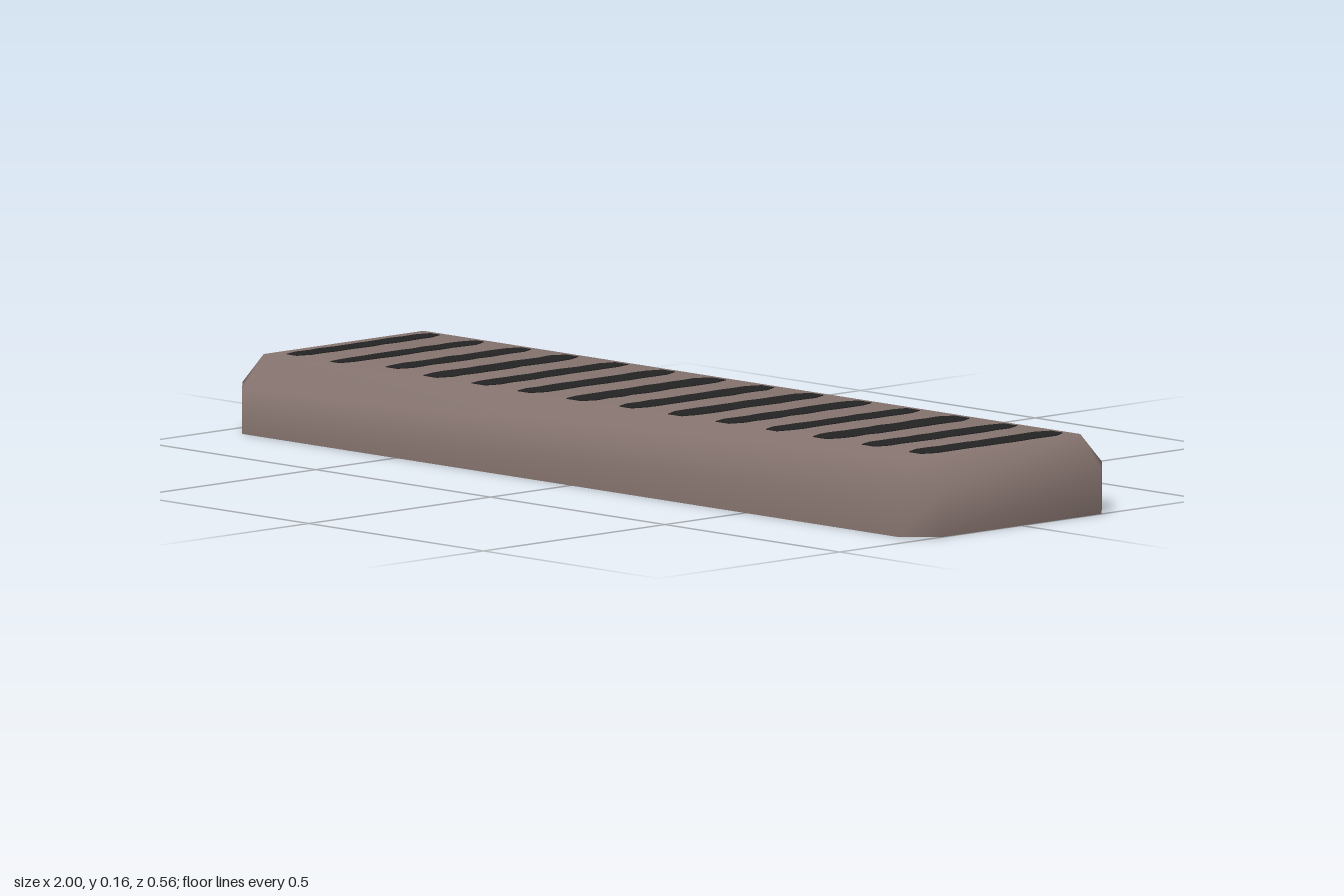
import * as THREE from 'three';
import { mergeVertices } from 'three/addons/utils/BufferGeometryUtils.js';

const TOP = 0.154, SHOULDER = 0.092, CHAMFER = 0.06, HALF_X = 1, HALF_Z = 0.28;

// Eight-cornered ring, counterclockwise from above; the insets cut its corners
function ring(y, outX, outZ) {
  const ix = HALF_X - CHAMFER, iz = HALF_Z - CHAMFER;
  return [
    [outX, y, iz], [outX, y, -iz], [ix, y, -outZ], [-ix, y, -outZ],
    [-outX, y, -iz], [-outX, y, iz], [-ix, y, outZ], [ix, y, outZ],
  ];
}

// Open-bottomed shell: walls, chamfers and flat top sharing smooth normals
function shellGeometry() {
  const rings = [
    ring(0, HALF_X, HALF_Z),
    ring(SHOULDER, HALF_X, HALF_Z),
    ring(TOP, HALF_X - CHAMFER, HALF_Z - CHAMFER),
  ];
  const index = [];
  for (let r = 0; r < 2; r++) {
    for (let i = 0; i < 8; i++) {
      const a = r * 8 + i, b = r * 8 + (i + 1) % 8;
      index.push(a, b, b + 8, a, b + 8, a + 8);
    }
  }
  index.push(16, 18, 20, 16, 20, 22);
  let geo = new THREE.BufferGeometry();
  geo.setAttribute('position', new THREE.Float32BufferAttribute(rings.flat(2), 3));
  geo.setIndex(index);
  geo = mergeVertices(geo);
  // Drop the triangles collapsed where the top ring's corners meet
  const src = geo.index.array, kept = [];
  for (let i = 0; i < src.length; i += 3) {
    const [a, b, c] = [src[i], src[i + 1], src[i + 2]];
    if (a !== b && b !== c && c !== a) kept.push(a, b, c);
  }
  geo.setIndex(kept);
  geo.computeVertexNormals();
  return geo;
}

// Small seeded generator for the uneven slot edges, from -1 to 1
function makeRandom(seed) {
  return () => {
    seed = (seed * 16807) % 2147483647;
    return (seed / 2147483647) * 2 - 1;
  };
}

// Slot with wavering sides and rounded ends, from zBack to zFront
function slotGeometry(width, zBack, zFront, random) {
  const steps = 12, left = [], right = [];
  for (let i = 0; i <= steps; i++) {
    const t = i / steps;
    const y = -zFront + t * (zFront - zBack);
    const end = i === 0 || i === steps ? 0.6 : 1;
    right.push(new THREE.Vector2(end * width / 2 + random() * 0.003, y));
    left.push(new THREE.Vector2(-end * width / 2 + random() * 0.003, y));
  }
  const shape = new THREE.Shape([...right, ...left.reverse()]);
  const geo = new THREE.ExtrudeGeometry(shape, { depth: 0.003, bevelEnabled: false });
  geo.rotateX(-Math.PI / 2);
  return geo;
}

export function createModel() {
  const casing = new THREE.MeshStandardMaterial({ color: 0x877570, side: THREE.DoubleSide });
  casing.name = 'dusty brown';
  const dark = new THREE.MeshStandardMaterial({ color: 0x232323 });
  dark.name = 'charcoal';

  const model = new THREE.Group();
  model.name = 'ventGrille';

  const shell = new THREE.Mesh(shellGeometry(), casing);
  shell.name = 'shell';
  model.add(shell);

  // Row of dark slots: centre x, width, front end z
  const slots = [
    [-0.888, 0.048, 0.19], [-0.76, 0.045, 0.195], [-0.63, 0.053, 0.165], [-0.495, 0.06, 0.19],
    [-0.356, 0.056, 0.19], [-0.22, 0.058, 0.195], [-0.078, 0.066, 0.195], [0.064, 0.062, 0.19],
    [0.203, 0.062, 0.19], [0.342, 0.058, 0.19], [0.481, 0.055, 0.19], [0.62, 0.068, 0.19],
    [0.76, 0.058, 0.19], [0.893, 0.058, 0.19],
  ];
  const random = makeRandom(77);
  const row = new THREE.Group();
  row.name = 'slots';
  slots.forEach(([x, width, zFront], i) => {
    const slot = new THREE.Mesh(slotGeometry(width, -0.202, zFront, random), dark);
    slot.name = `slot${i + 1}`;
    slot.position.set(x, TOP - 0.0015, 0);
    row.add(slot);
  });
  model.add(row);
  return model;
}
